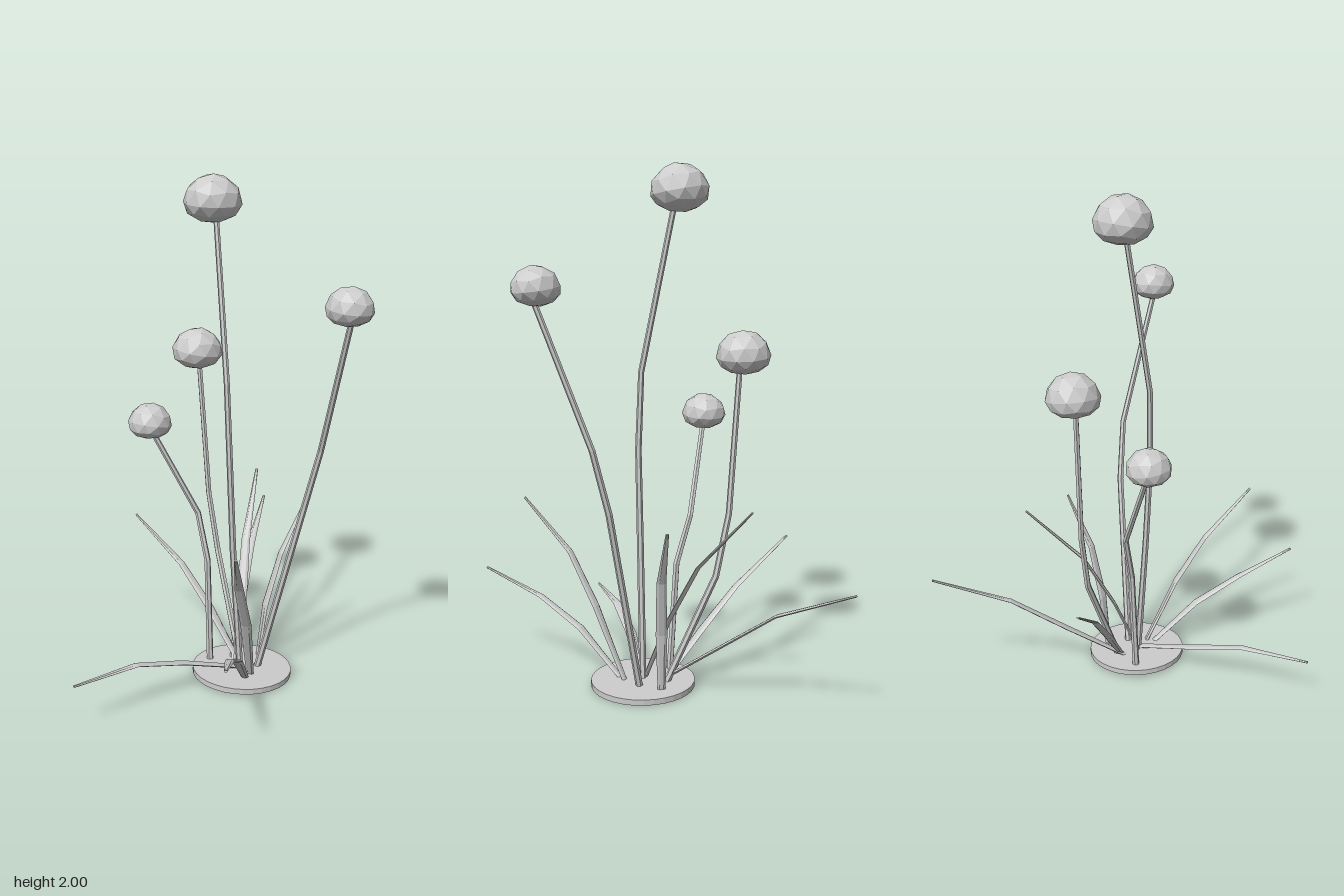
import * as THREE from 'three';

const grey = new THREE.MeshStandardMaterial({ color: 0xcccccc, flatShading: true });
grey.name = 'plain grey';

const UP = new THREE.Vector3(0, 1, 0);

// Sweeps an elliptical ring along straight segments; each size is [half width, half thickness].
function sweep(points, sizes, sides) {
  const p = points.map((a) => new THREE.Vector3(...a));
  const last = p.length - 1;
  const heading = p[last].clone().sub(p[0]);
  const positions = [];
  const index = [];
  p.forEach((c, i) => {
    const t = p[Math.min(i + 1, last)].clone().sub(p[Math.max(i - 1, 0)]).normalize();
    const s = UP.clone().cross(heading);
    s.addScaledVector(t, -s.dot(t)).normalize();
    const n = t.clone().cross(s);
    for (let j = 0; j < sides; j++) {
      const a = (j / sides) * Math.PI * 2;
      const v = c.clone()
        .addScaledVector(s, Math.cos(a) * sizes[i][0])
        .addScaledVector(n, Math.sin(a) * sizes[i][1]);
      positions.push(v.x, v.y, v.z);
    }
  });
  for (let i = 0; i < last; i++) {
    for (let j = 0; j < sides; j++) {
      const a = i * sides + j;
      const b = i * sides + ((j + 1) % sides);
      index.push(a, b, a + sides, b, b + sides, a + sides);
    }
  }
  // End caps
  for (let j = 1; j < sides - 1; j++) {
    index.push(0, j + 1, j);
    const e = last * sides;
    index.push(e, e + j, e + j + 1);
  }
  const g = new THREE.BufferGeometry();
  g.setAttribute('position', new THREE.Float32BufferAttribute(positions, 3));
  g.setIndex(index);
  g.computeVertexNormals();
  return g;
}

// Faceted ball with a round top and a flattened underside
function flowerHead(r, turn) {
  const g = new THREE.IcosahedronGeometry(r, 1);
  g.rotateZ(Math.atan(2 / (1 + Math.sqrt(5))));
  g.rotateX(0.2);
  g.rotateY(turn);
  g.scale(1.03, 1, 1.03);
  const pos = g.attributes.position;
  for (let i = 0; i < pos.count; i++) {
    if (pos.getY(i) < 0) pos.setY(i, pos.getY(i) * 0.68);
  }
  g.computeVertexNormals();
  return g;
}

// Stem paths run from the base up into the flower head
const flowers = [
  { head: [0.058, 1.891, -0.073], r: 0.11,
    stem: [[0.152, 0.02, 0.055], [0.115, 0.55, 0.07], [0.097, 0.92, 0.08], [0.086, 1.22, 0.07], [0.067, 1.85, -0.055]] },
  { head: [0.462, 1.536, 0.372], r: 0.087,
    stem: [[0.225, 0.02, 0.055], [0.385, 0.73, 0.135], [0.43, 0.97, 0.185], [0.468, 1.5, 0.38]] },
  { head: [0.044, 1.28, -0.316], r: 0.102,
    stem: [[0.17, 0.02, -0.04], [0.115, 0.44, -0.225], [0.085, 0.68, -0.27], [0.05, 1.24, -0.303]] },
  { head: [-0.182, 1.027, -0.138], r: 0.086,
    stem: [[0.045, 0.02, -0.035], [0.038, 0.46, -0.06], [0.008, 0.65, -0.11], [-0.17, 0.99, -0.136]] },
];

const leaves = [
  [[0.14, 0.02, 0.05], [0.18, 0.27, -0.05], [0.225, 0.5, -0.17], [0.32, 0.74, -0.378]],
  [[0.25, 0.02, -0.035], [0.28, 0.25, -0.04], [0.345, 0.47, -0.05], [0.46, 0.685, -0.09]],
  [[0.14, 0.02, -0.02], [0.23, 0.2, -0.26], [0.32, 0.36, -0.47], [0.45, 0.49, -0.75]],
  [[0.16, 0.02, -0.03], [0.07, 0.2, -0.16], [-0.03, 0.36, -0.29], [-0.2, 0.53, -0.48]],
  [[0.18, 0.02, 0.12], [0.13, 0.3, 0.245], [0.075, 0.5, 0.36], [0.015, 0.7, 0.56]],
  [[0.155, 0.02, 0.14], [0.08, 0.19, 0.32], [0.01, 0.29, 0.5], [-0.06, 0.38, 0.75]],
  [[0.15, 0.03, 0.06], [-0.1, 0.115, 0.15], [-0.3, 0.175, 0.25], [-0.55, 0.18, 0.385]],
];
const leafSizes = [[0.015, 0.007], [0.022, 0.007], [0.018, 0.006], [0.006, 0.004]];

export function createModel() {
  const group = new THREE.Group();
  const add = (geometry, name) => {
    const mesh = new THREE.Mesh(geometry, grey);
    mesh.name = name;
    group.add(mesh);
    return mesh;
  };

  // Thin, slightly tilted ground disc
  const base = add(new THREE.CylinderGeometry(0.202, 0.202, 0.022, 32), 'baseDisc');
  base.position.set(0.16, 0.017, 0.053);
  base.rotation.z = -0.025;

  // Flowers on bent stems
  flowers.forEach(({ head, r, stem }, i) => {
    const widths = stem.map((_, k) => 0.014 - 0.003 * (k / (stem.length - 1)));
    add(sweep(stem, widths.map((w) => [w, w]), 6), `stem${i + 1}`);
    add(flowerHead(r, i * 0.7), `flowerHead${i + 1}`).position.set(...head);
  });

  // Narrow arching leaves
  leaves.forEach((path, i) => add(sweep(path, leafSizes, 6), `leaf${i + 1}`));

  return group;
}
